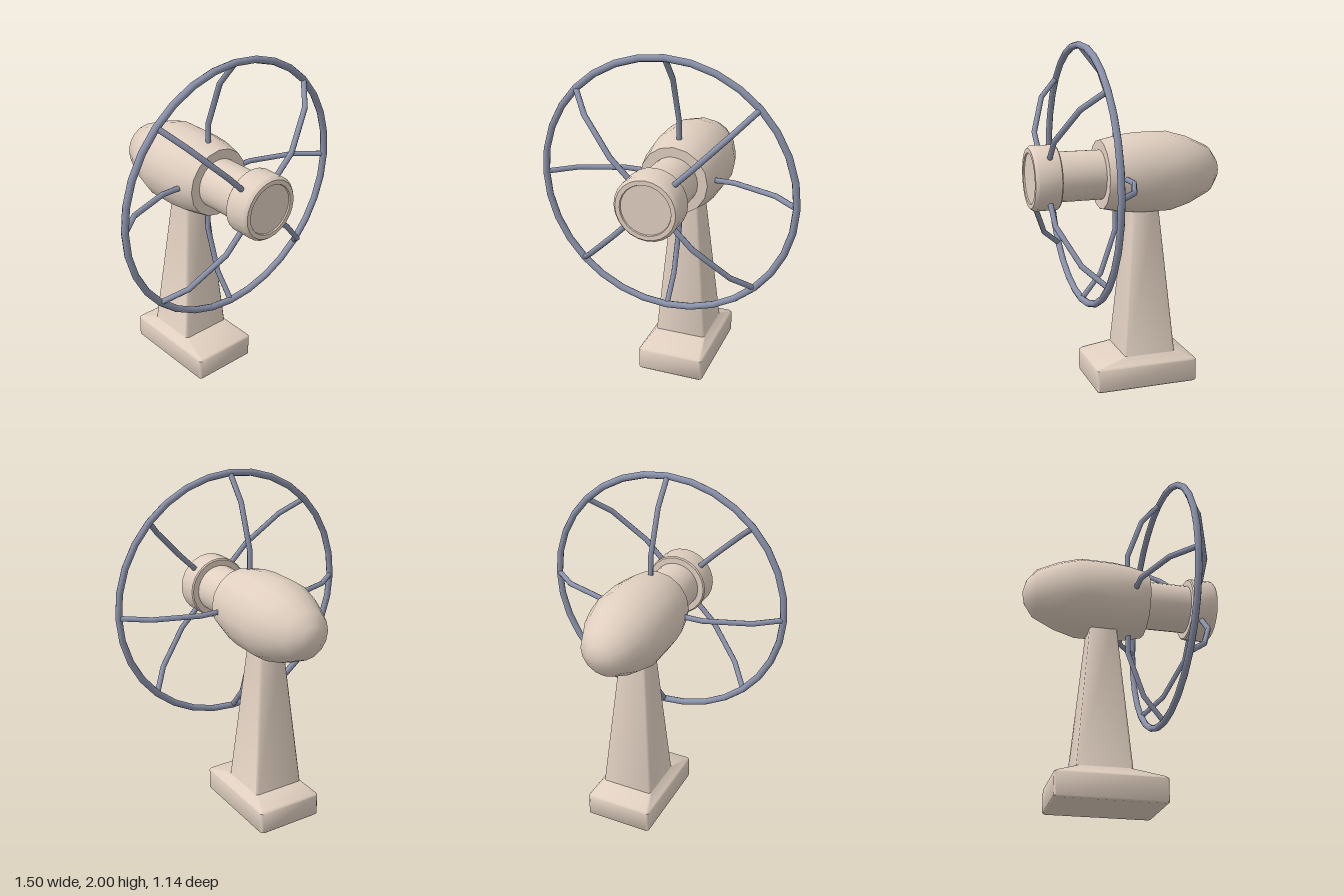
import * as THREE from 'three';
import { toCreasedNormals } from 'three/addons/utils/BufferGeometryUtils.js';

const AXIS_Y = 1.25;
const shell = new THREE.MeshStandardMaterial({ color: 0xe0cfc0 });
const metal = new THREE.MeshStandardMaterial({ color: 0x8a92ab });

function addMesh(parent, name, geometry, material) {
  const mesh = new THREE.Mesh(geometry, material);
  mesh.name = name;
  parent.add(mesh);
  return mesh;
}

// Turned part around the z axis; profile is [radius, z] from back to front
function turned(profile, sides) {
  const g = new THREE.LatheGeometry(profile.map(([r, z]) => new THREE.Vector2(r, z)), sides);
  g.rotateX(Math.PI / 2);
  return toCreasedNormals(g, 0.7);
}

// Stacked rectangles with clipped corners; sections are [y, halfX, zBack, zFront]
function rectLoft(sections, clip) {
  const pos = [], index = [], n = 8;
  for (const [y, x, b, f] of sections) {
    const c = clip;
    const loop = [[x - c, f], [x, f - c], [x, b + c], [x - c, b],
      [c - x, b], [-x, b + c], [-x, f - c], [c - x, f]];
    for (const [px, pz] of loop) pos.push(px, y, pz);
  }
  for (let s = 0; s < sections.length - 1; s++) {
    for (let i = 0; i < n; i++) {
      const a = s * n + i, b = s * n + (i + 1) % n;
      index.push(a, b, b + n, a, b + n, a + n);
    }
  }
  const top = (sections.length - 1) * n;
  for (let i = 1; i < n - 1; i++) {
    index.push(0, i + 1, i, top, top + i, top + i + 1);
  }
  const g = new THREE.BufferGeometry();
  g.setAttribute('position', new THREE.Float32BufferAttribute(pos, 3));
  g.setIndex(index);
  return toCreasedNormals(g, 0.85);
}

// Straight-sided path that puts one tube ring on every corner
class BentPath extends THREE.Curve {
  constructor(points) {
    super();
    this.points = points;
  }
  getPoint(t, target = new THREE.Vector3()) {
    const last = this.points.length - 1;
    const i = Math.min(Math.floor(t * last + 1e-6), last - 1);
    return target.lerpVectors(this.points[i], this.points[i + 1], t * last - i);
  }
  getPointAt(t, target) {
    return this.getPoint(t, target);
  }
  getTangentAt(t, target = new THREE.Vector3()) {
    const p = this.points, last = p.length - 1, i = Math.round(t * last);
    target.set(0, 0, 0);
    if (i > 0) target.add(p[i].clone().sub(p[i - 1]).normalize());
    if (i < last) target.add(p[i + 1].clone().sub(p[i]).normalize());
    return target.normalize();
  }
}

export function createModel() {
  const model = new THREE.Group();
  model.name = 'fan';

  // Foot with sloped shoulders running up into the tapered column
  addMesh(model, 'stand', rectLoft([
    [0, 0.193, -0.373, 0.228],
    [0.008, 0.202, -0.38, 0.236],
    [0.135, 0.202, -0.38, 0.236],
    [0.146, 0.194, -0.37, 0.226],
    [0.187, 0.157, -0.257, 0.052],
    [1.1, 0.075, -0.175, -0.027],
  ], 0.012), shell);

  const head = new THREE.Group();
  head.name = 'head';
  head.position.y = AXIS_Y;
  model.add(head);

  // Egg-shaped motor housing
  addMesh(head, 'motorHousing', turned([
    [0, -0.57], [0.07, -0.553], [0.14, -0.5], [0.2, -0.37], [0.235, -0.245],
    [0.235, -0.06], [0.225, 0.04], [0.2, 0.155], [0, 0.155],
  ], 16), shell);

  // Neck and hub cap with a shallow recessed face
  addMesh(head, 'neck', turned([[0.143, 0.13], [0.143, 0.43]], 24), shell);
  addMesh(head, 'hubCap', turned([
    [0, 0.415], [0.178, 0.415], [0.185, 0.422], [0.185, 0.55], [0.17, 0.568],
    [0.145, 0.568], [0.142, 0.56], [0, 0.56],
  ], 24), shell);

  // Guard ring
  addMesh(head, 'guardRing', new THREE.TorusGeometry(0.73, 0.02, 8, 32), metal)
    .position.z = 0.27;

  // Spokes bend alternately back to the housing and forward to the hub cap
  for (let i = 0; i < 8; i++) {
    const forward = i % 2 === 1;
    const side = forward ? 1 : -1;
    const path = [[0.73, 0], [0.585, 0.117], [0.325, 0.208], [forward ? 0.16 : 0.19, 0.208]]
      .map(([r, d]) => new THREE.Vector3(r, 0, 0.27 + side * d));
    const spoke = addMesh(head, forward ? 'frontSpoke' : 'backSpoke',
      new THREE.TubeGeometry(new BentPath(path), 3, 0.016, 8), metal);
    spoke.rotation.z = i * Math.PI / 4;
  }
  return model;
}
